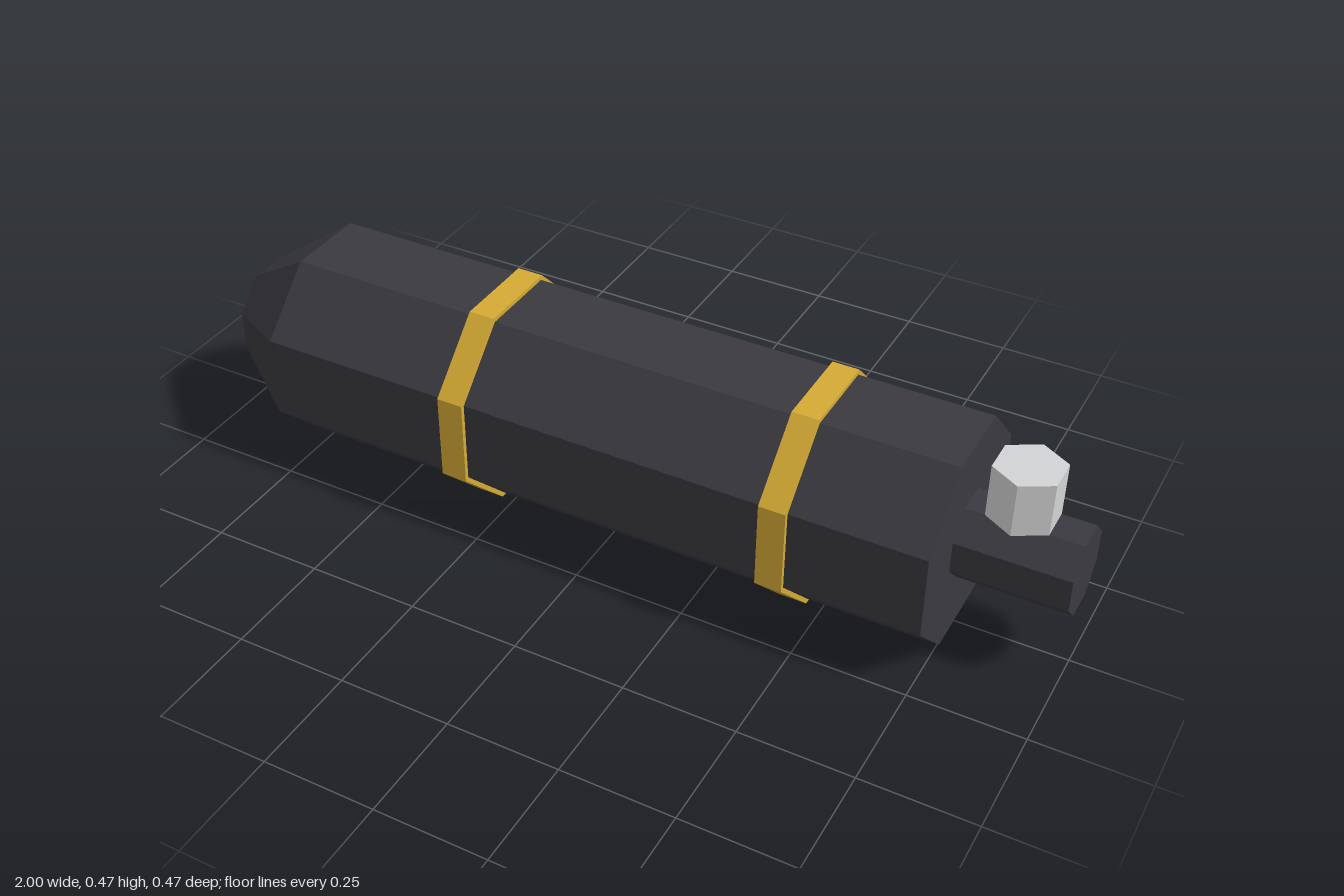
import * as THREE from 'three';

const AXIS_Y = 0.237;
const INRADIUS_TO_CORNER = 1 / Math.cos(Math.PI / 8);

export function createModel() {
  const model = new THREE.Group();
  const paint = (name, color) => {
    const material = new THREE.MeshStandardMaterial({ color, flatShading: true });
    material.name = name;
    return material;
  };
  const charcoal = paint('charcoal', 0x3a393f);
  const gold = paint('gold', 0xd4aa34);
  const silver = paint('silver', 0xd2d3d4);

  // Eight-sided solid along x with flats on top and sides; profile is [x, half-width across flats]
  const octagonal = (name, profile, material) => {
    const points = profile.map(([x, r]) => new THREE.Vector2(r * INRADIUS_TO_CORNER, x));
    const geometry = new THREE.LatheGeometry(points, 8, Math.PI / 8);
    geometry.rotateZ(-Math.PI / 2);
    const mesh = new THREE.Mesh(geometry, material);
    mesh.name = name;
    mesh.position.y = AXIS_Y;
    model.add(mesh);
  };
  const bar = (name, x0, x1, r, material) =>
    octagonal(name, [[x0, 0], [x0, r], [x1, r], [x1, 0]], material);

  // Tank with a rounded closed end on the right and a flat end on the left
  octagonal('tank', [[-1, 0], [-0.955, 0.111], [-0.78, 0.227], [0.757, 0.227], [0.757, 0]], charcoal);

  // Two raised bands
  bar('rightBand', -0.337, -0.278, 0.237, gold);
  bar('leftBand', 0.406, 0.465, 0.237, gold);

  // Outlet neck
  bar('neck', 0.75, 1, 0.088, charcoal);

  // Hexagonal valve knob on top of the neck
  const knob = new THREE.Mesh(new THREE.CylinderGeometry(0.075, 0.075, 0.12, 6), silver);
  knob.name = 'valveKnob';
  knob.position.set(0.863, 0.385, 0);
  model.add(knob);

  return model;
}
